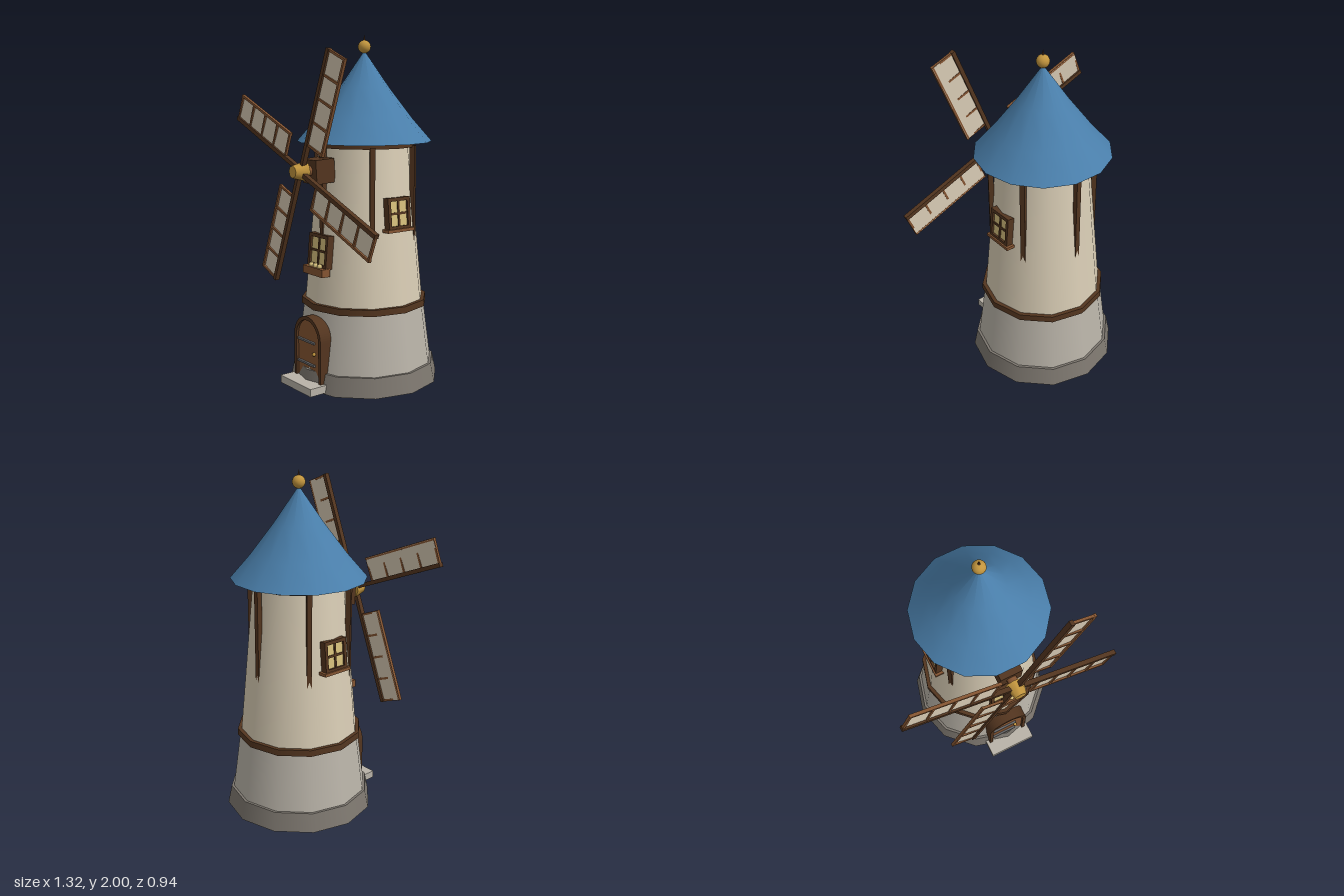
import * as THREE from 'three';

const mat = (name, hex) => {
  const m = new THREE.MeshStandardMaterial({ color: hex });
  m.name = name;
  return m;
};

export function createModel() {
  const plaster = mat('cream plaster', 0xd9cdb5);
  const stone = mat('light stone', 0xb9b3a8);
  const plinthStone = mat('dark stone', 0x7d776f);
  const darkWood = mat('dark wood', 0x53351f);
  const wood = mat('warm wood', 0x855532);
  const roofBlue = mat('blue roof', 0x4a7fab);
  const gold = mat('gold', 0xc2953e);
  const glass = mat('lit glass', 0xd6bf7c);
  const cloth = mat('sail cloth', 0xd6c9b3);
  const iron = mat('iron', 0x6a6a6c);

  const model = new THREE.Group();
  model.name = 'windmill';
  const add = (parent, name, geo, material, x = 0, y = 0, z = 0) => {
    const m = new THREE.Mesh(geo, material);
    m.name = name;
    m.position.set(x, y, z);
    parent.add(m);
    return m;
  };
  const box = (parent, name, w, h, d, material, x, y, z) =>
    add(parent, name, new THREE.BoxGeometry(w, h, d), material, x, y, z);
  const group = (parent, name) => {
    const g = new THREE.Group();
    g.name = name;
    parent.add(g);
    return g;
  };

  // Twelve-sided tower, set slightly back to leave room for the sails
  const tower = group(model, 'tower');
  tower.position.z = -0.03;
  const drum = (name, r0, r1, y0, y1, material) =>
    add(tower, name, new THREE.CylinderGeometry(r1, r0, y1 - y0, 12), material, 0, (y0 + y1) / 2, 0);
  drum('plinth', 0.44, 0.417, 0, 0.11, plinthStone);
  drum('stoneBase', 0.402, 0.356, 0.11, 0.46, stone);
  drum('band', 0.372, 0.37, 0.45, 0.487, darkWood);
  drum('plasterWall', 0.35, 0.263, 0.46, 1.39, plaster);
  drum('eaveRing', 0.3, 0.3, 1.37, 1.398, darkWood);
  const wallRadius = y => 0.35 - 0.0935 * (y - 0.46);

  // Upright posts that sink into the sloping wall
  for (let i = 0; i < 6; i++) {
    const arm = group(tower, 'post');
    arm.rotation.y = i * Math.PI / 3;
    box(arm, 'postBeam', 0.028, 0.56, 0.03, darkWood, 0, 1.1, 0.296);
  }

  // Flared fourteen-sided roof with finial
  const profile = [[0.39, 1.398], [0.275, 1.53], [0.142, 1.705], [0, 1.912]]
    .map(([x, y]) => new THREE.Vector2(x, y));
  add(tower, 'roof', new THREE.LatheGeometry(profile, 14, Math.PI / 14), roofBlue);
  const eave = add(tower, 'eaveUnderside', new THREE.CircleGeometry(0.39, 14), roofBlue, 0, 1.398, 0);
  eave.rotation.x = Math.PI / 2;
  add(tower, 'finialBall', new THREE.SphereGeometry(0.037, 16, 12), gold, 0, 1.933, 0);
  add(tower, 'finialSpike', new THREE.ConeGeometry(0.009, 0.04, 8), darkWood, 0, 1.98, 0);

  // Windows: frame, glass and cross bars, leaning with the wall
  const addWindow = (name, angle, y, w, h) => {
    const arm = group(tower, name);
    arm.rotation.y = angle;
    const win = group(arm, name + 'Body');
    win.position.set(0, y, wallRadius(y));
    win.rotation.x = -0.093;
    const t = 0.02;
    box(win, 'windowPane', w - t, h - t, 0.04, glass, 0, 0, -0.013);
    for (const s of [-1, 1]) {
      box(win, 'frameSide', t, h, 0.06, darkWood, s * (w - t) / 2, 0, -0.011);
      box(win, 'frameRail', w, t, 0.06, darkWood, 0, s * (h - t) / 2, -0.011);
    }
    box(win, 'mullion', 0.013, h, 0.05, darkWood, 0, 0, -0.012);
    box(win, 'crossBar', w, 0.013, 0.05, darkWood, 0, 0, -0.012);
    return arm;
  };
  for (const s of [-1, 1]) {
    const arm = addWindow('sideWindow', s * Math.PI / 2, 1.01, 0.16, 0.18);
    box(arm, 'sill', 0.19, 0.018, 0.06, wood, 0, 0.918, 0.304);
  }
  const front = addWindow('frontWindow', 0, 0.79, 0.18, 0.19);
  box(front, 'flowerBox', 0.19, 0.045, 0.055, wood, 0, 0.678, 0.347);
  for (const x of [-0.04, 0, 0.04])
    add(front, 'flower', new THREE.SphereGeometry(0.016, 8, 6), glass, x, 0.707, 0.352);

  // Arched door with frame, hinges and knob
  const door = group(model, 'door');
  const arch = (r, y0, Kind = THREE.Shape) => {
    const s = new Kind();
    s.moveTo(-r, y0);
    s.lineTo(r, y0);
    s.lineTo(r, 0.29);
    s.absarc(0, 0.29, r, 0, Math.PI, false);
    s.closePath();
    return s;
  };
  const extrude = (shape, depth) =>
    new THREE.ExtrudeGeometry(shape, { depth, bevelEnabled: false, curveSegments: 16 });
  const frameShape = arch(0.13, 0.03);
  frameShape.holes.push(arch(0.108, 0.035, THREE.Path));
  add(door, 'doorFrame', extrude(frameShape, 0.105), darkWood, 0, 0, 0.28);
  add(door, 'doorLeaf', extrude(arch(0.109, 0.035), 0.09), wood, 0, 0, 0.28);
  for (const y of [0.14, 0.272])
    box(door, 'hinge', 0.16, 0.012, 0.02, iron, -0.022, y, 0.373);
  add(door, 'knob', new THREE.SphereGeometry(0.011, 10, 8), gold, 0.056, 0.21, 0.378);
  box(model, 'doorStep', 0.3, 0.044, 0.13, stone, 0, 0.03, 0.405);

  // Axle housing and hub
  const hub = group(model, 'hub');
  hub.position.y = 1.25;
  box(hub, 'axleHousing', 0.132, 0.135, 0.125, darkWood, 0, -0.003, 0.295).rotation.x = 0.06;
  const axle = add(hub, 'axle', new THREE.CylinderGeometry(0.03, 0.03, 0.1, 10), wood, 0, 0, 0.37);
  const cap = add(hub, 'hubCap', new THREE.CylinderGeometry(0.035, 0.056, 0.082, 8), gold, 0, 0, 0.43);
  axle.rotation.x = cap.rotation.x = Math.PI / 2;

  // Four sails, each a stock with a lattice and cloth on one side
  for (let i = 0; i < 4; i++) {
    const sail = group(hub, 'sail');
    sail.position.z = 0.415;
    sail.rotation.z = -0.381 + i * Math.PI / 2;
    box(sail, 'stock', 0.024, 0.71, 0.028, darkWood, 0.006, 0.355, 0);
    const panel = box(sail, 'sailCloth', 0.142, 0.54, 0.006, cloth, 0.082, 0.436, -0.0035);
    panel.rotation.y = 0.05;
    box(sail, 'outerRail', 0.014, 0.55, 0.018, wood, 0.15, 0.435, -0.001);
    for (let k = 0; k < 5; k++)
      box(sail, 'sailBar', 0.15, 0.013, 0.015, wood, 0.08, 0.167 + k * 0.134, 0);
  }
  return model;
}
